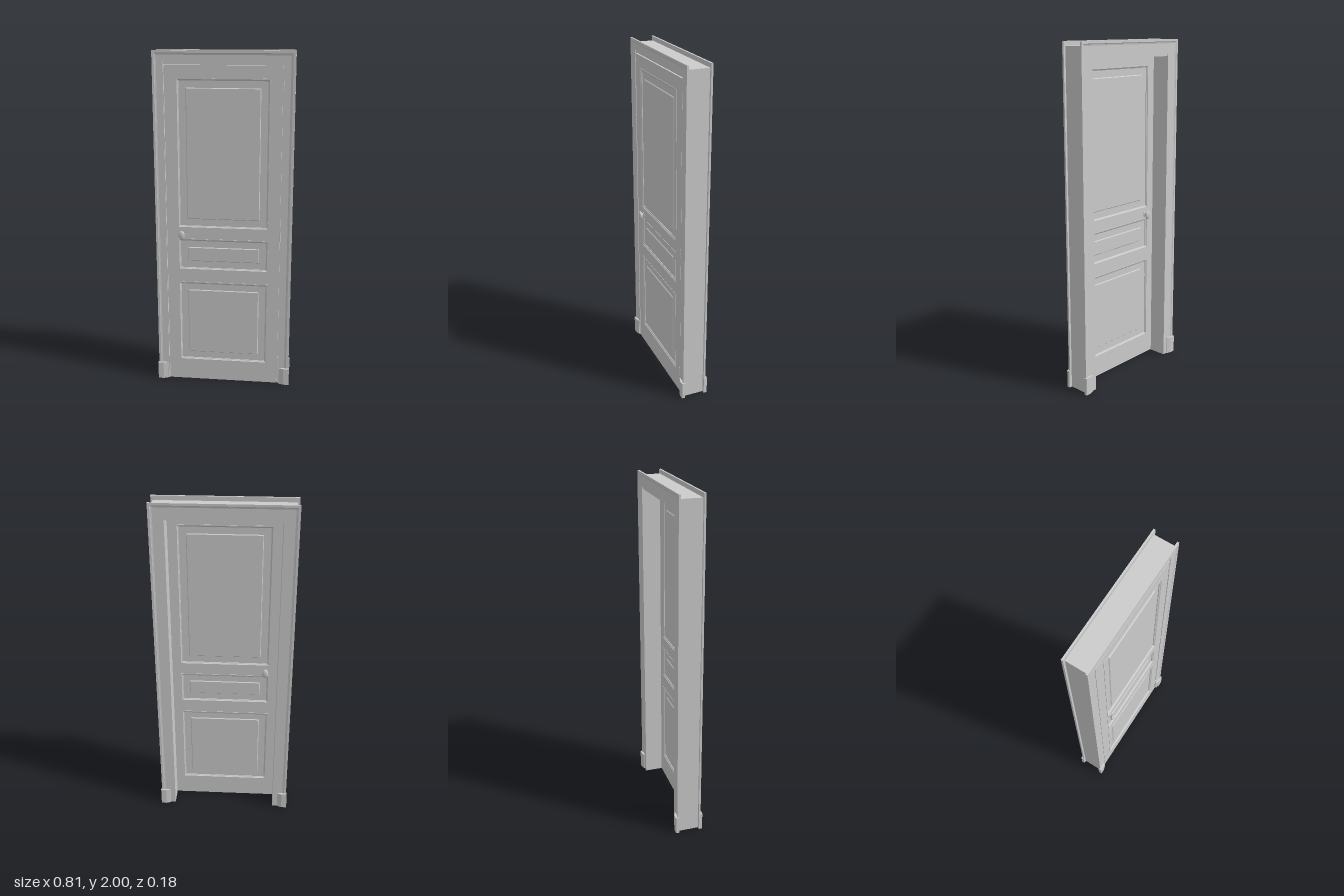
import * as THREE from 'three';

const mat = new THREE.MeshStandardMaterial({ color: 0xcccccc });
const matDouble = new THREE.MeshStandardMaterial({ color: 0xcccccc, side: THREE.DoubleSide });

function part(name, geometry, material = mat) {
  const m = new THREE.Mesh(geometry, material);
  m.name = name;
  return m;
}

function fromTriangles(points) {
  const g = new THREE.BufferGeometry().setFromPoints(points);
  g.computeVertexNormals();
  return g;
}

// Mitred three-sided surround; the closed profile holds [inset from outer edge, z]
function surround(halfWidth, top, profile) {
  const at = (k, [d, z]) => new THREE.Vector3(
    (k < 2 ? -1 : 1) * (halfWidth - d), k === 0 || k === 3 ? 0 : top - d, z);
  const tris = [];
  for (let k = 0; k < 3; k++) {
    profile.forEach((p, j) => {
      const q = profile[(j + 1) % profile.length];
      const a = at(k, p), a2 = at(k, q), b = at(k + 1, p), b2 = at(k + 1, q);
      tris.push(a, a2, b, a2, b2, b);
    });
  }
  // closed feet
  const faces = THREE.ShapeUtils.triangulateShape(profile.map(p => new THREE.Vector2(...p)), []);
  for (const k of [0, 3]) {
    for (const f of faces) tris.push(...f.map(i => at(k, profile[i])));
  }
  return fromTriangles(tris);
}

// Panel relief of nested rectangles [inset, z], closed by a flat field
function panelRelief(w, h, profile) {
  const loop = ([d, z]) => [[-1, -1], [1, -1], [1, 1], [-1, 1]].map(
    ([sx, sy]) => new THREE.Vector3(sx * (w / 2 - d), sy * (h / 2 - d), z));
  const tris = [];
  for (let j = 0; j + 1 < profile.length; j++) {
    const a = loop(profile[j]), b = loop(profile[j + 1]);
    for (let k = 0; k < 4; k++) {
      const n = (k + 1) % 4;
      tris.push(a[k], a[n], b[k], a[n], b[n], b[k]);
    }
  }
  const c = loop(profile[profile.length - 1]);
  tris.push(c[0], c[1], c[2], c[0], c[2], c[3]);
  return fromTriangles(tris);
}

function rectPath(target, x0, y0, x1, y1) {
  target.moveTo(x0, y0);
  target.lineTo(x1, y0);
  target.lineTo(x1, y1);
  target.lineTo(x0, y1);
  target.closePath();
  return target;
}

function knob() {
  const profile = [[0.013, 0], [0.013, 0.003], [0.008, 0.005], [0.0075, 0.009], [0.010, 0.013],
    [0.016, 0.018], [0.018, 0.023], [0.017, 0.027], [0.011, 0.031], [0, 0.033]]
    .map(p => new THREE.Vector2(...p));
  const g = new THREE.LatheGeometry(new THREE.SplineCurve(profile).getPoints(30), 32);
  g.rotateX(Math.PI / 2);
  g.scale(1, 1.5, 1); // oval grip
  return part('knob', g, matDouble);
}

// Casing and plinth blocks for one face of the wall
function trim(name, casingWidth) {
  const g = new THREE.Group();
  g.name = name;
  g.add(part('casing', surround(0.4, 2, [[0, 0.05], [0, 0.061], [0.013, 0.061], [0.016, 0.0585],
    [0.024, 0.0565], [casingWidth, 0.0565], [casingWidth, 0.05]]), matDouble));
  for (const s of [-1, 1]) {
    const shape = new THREE.Shape([[0.405, 0.05], [0.405, 0.069], [0.403, 0.071], [0.372, 0.071],
      [0.345, 0.061], [0.345, 0.05]].map(([x, z]) => new THREE.Vector2(s * x, -z)));
    const block = new THREE.ExtrudeGeometry(shape, { depth: 0.105, bevelEnabled: false });
    block.rotateX(-Math.PI / 2);
    g.add(part('plinthBlock', block));
  }
  return g;
}

export function createModel() {
  const model = new THREE.Group();
  model.name = 'panelDoor';

  // Rebated jamb lining
  model.add(part('jamb', surround(0.387, 1.975, [[0, -0.072], [0, 0.05], [0.051, 0.05],
    [0.051, 0.03], [0.072, 0.03], [0.072, -0.072]]), matDouble));

  // Casings on both faces
  const back = trim('backTrim', 0.085);
  back.rotation.y = Math.PI;
  back.position.z = -0.022;
  model.add(trim('frontTrim', 0.062), back);

  // Door leaf: stiles and rails with three panel openings
  const thickness = 0.025, zMid = 0.0425;
  const openings = [[0.13, 0.645], [0.72, 0.915], [0.98, 1.85]];
  const door = new THREE.Group();
  door.name = 'door';
  door.position.z = zMid;
  const leaf = rectPath(new THREE.Shape(), -0.333, 0.003, 0.333, 1.921);
  for (const [y0, y1] of openings) leaf.holes.push(rectPath(new THREE.Path(), -0.267, y0, 0.267, y1));
  const frame = new THREE.ExtrudeGeometry(leaf, { depth: thickness, bevelEnabled: false });
  frame.translate(0, 0, -thickness / 2);
  door.add(part('stilesAndRails', frame));

  // Moulded panels and knobs on both faces
  const relief = [[0, 0.0125], [0, 0.0145], [0.006, 0.0145], [0.009, 0.0105], [0.014, 0.008],
    [0.014, 0.004], [0.054, 0.004], [0.058, 0.009]];
  for (const s of [1, -1]) {
    const face = new THREE.Group();
    face.name = s > 0 ? 'frontFace' : 'backFace';
    face.rotation.y = s > 0 ? 0 : Math.PI;
    for (const [y0, y1] of openings) {
      const panel = part('panel', panelRelief(0.534, y1 - y0, relief));
      panel.position.y = (y0 + y1) / 2;
      face.add(panel);
    }
    const handle = knob();
    handle.position.set(-0.243 * s, 0.94, thickness / 2);
    face.add(handle);
    door.add(face);
  }
  model.add(door);

  // Hinge barrels
  for (const y of [0.15, 0.94, 1.82]) {
    const hinge = part('hinge', new THREE.CylinderGeometry(0.004, 0.004, 0.05, 12));
    hinge.position.set(0.335, y, 0.056);
    model.add(hinge);
  }
  return model;
}
